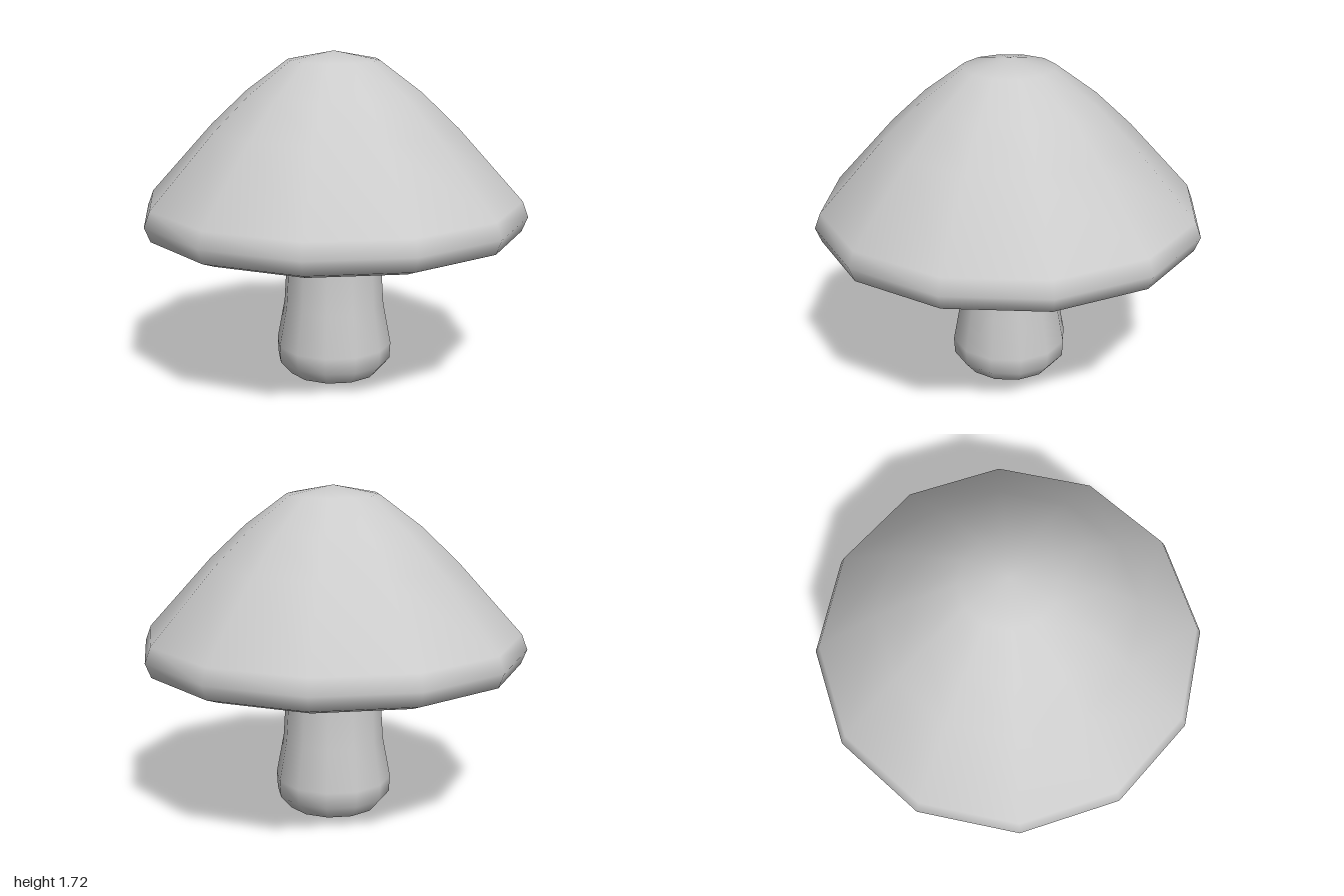
import * as THREE from 'three';
import { mergeVertices } from 'three/addons/utils/BufferGeometryUtils.js';

const SIDES = 12;
const CAP_BASE = 0.79;

// Outline from the foot of the stem, out under the cap, up to the crown
const PROFILE = [
  [0, 0.005], [0.15, 0.005], [0.24, 0.03], [0.3, 0.1], [0.305, 0.185],
  [0.265, 0.4], [0.25, 0.64], [0.243, CAP_BASE],
  [0.89, CAP_BASE], [0.97, 0.82], [1, 0.895], [0.97, 0.975],
  [0.64, 1.34], [0.45, 1.52], [0.235, 1.68], [0, 1.725],
];

// One smooth 12-sided skin, with shared normals across the seam and the poles
function makeSkin() {
  const lathe = new THREE.LatheGeometry(PROFILE.map(([r, y]) => new THREE.Vector2(r, y)), SIDES);
  lathe.deleteAttribute('normal');
  lathe.deleteAttribute('uv');
  const skin = mergeVertices(lathe, 1e-4);
  skin.computeVertexNormals();
  return skin;
}

// Keep the triangles that pass a test, with their blended normals
function pick(skin, test) {
  const { position } = skin.attributes;
  const kept = [];
  for (let i = 0; i < skin.index.count; i += 3) {
    const tri = [0, 1, 2].map((k) => skin.index.getX(i + k));
    if (new Set(tri).size === 3 && test(Math.min(...tri.map((v) => position.getY(v))))) kept.push(...tri);
  }
  const part = skin.clone();
  part.setIndex(kept);
  return part;
}

export function createModel() {
  const group = new THREE.Group();
  group.name = 'mushroom';
  const material = new THREE.MeshStandardMaterial({ color: 0xcccccc });
  const skin = makeSkin();

  const add = (name, test) => {
    const mesh = new THREE.Mesh(pick(skin, test), material);
    mesh.name = name;
    group.add(mesh);
  };

  add('stem', (lowest) => lowest < CAP_BASE - 0.01);
  add('cap', (lowest) => lowest >= CAP_BASE - 0.01);
  return group;
}
